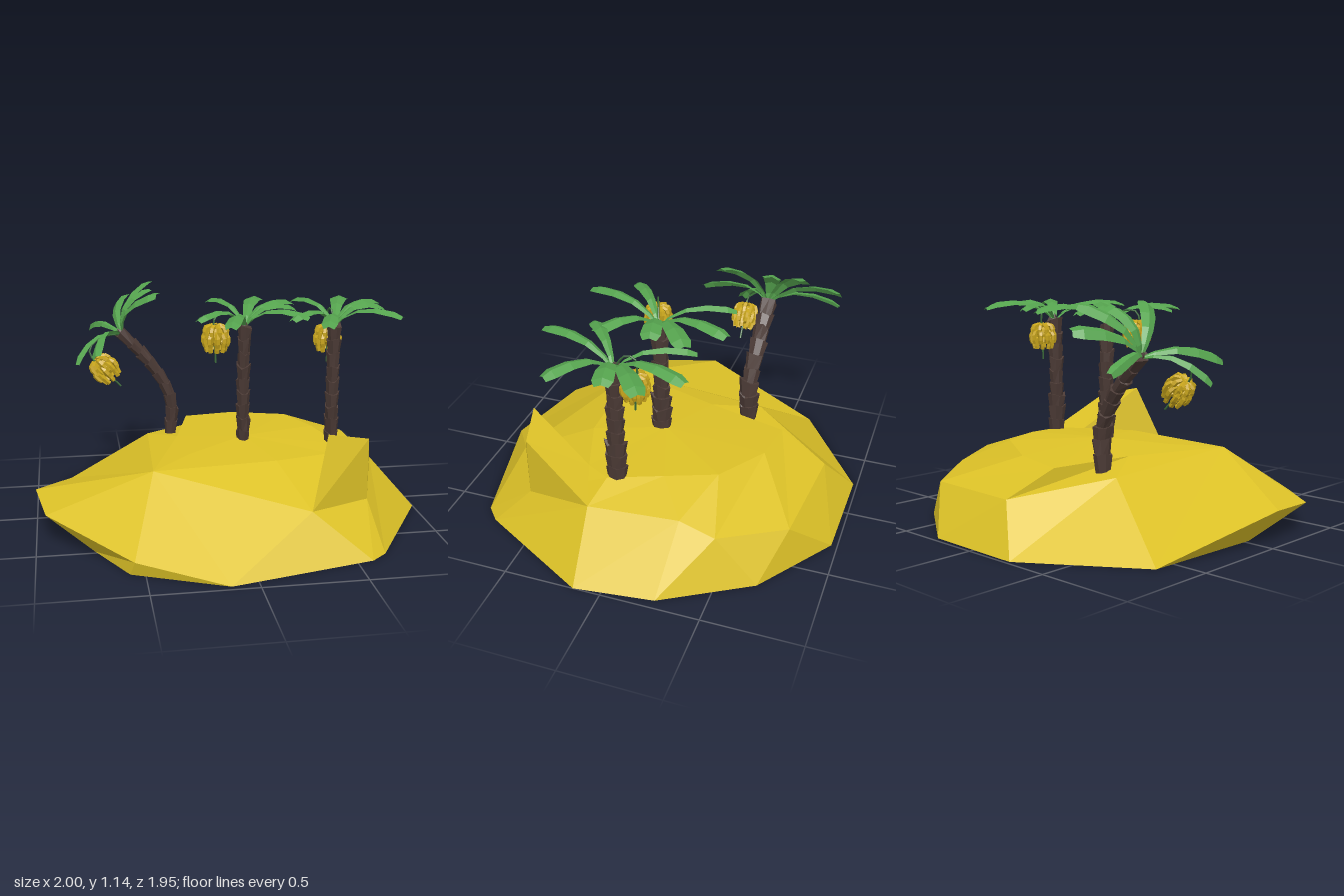
import * as THREE from 'three';
import { mergeGeometries } from 'three/addons/utils/BufferGeometryUtils.js';

const mat = (name, color, extra = {}) => {
  const m = new THREE.MeshStandardMaterial({ color, flatShading: true, ...extra });
  m.name = name;
  return m;
};
const sand = mat('sand', 0xdcc127, { side: THREE.DoubleSide });
const bark = mat('bark', 0x4b3a35);
const leafGreen = mat('leaf green', 0x55a34e, { side: THREE.DoubleSide });
const stemGreen = mat('stem green', 0x3a6a38);
const fruitYellow = mat('fruit yellow', 0xc9a61c);

let seed = 7;
const rand = () => (seed = (seed * 16807) % 2147483647) / 2147483647;

const mesh = (name, geo, material) => {
  const m = new THREE.Mesh(geo, material);
  m.name = name;
  return m;
};

// Faceted surface from a list of corner points, three per face
function facets(points) {
  const g = new THREE.BufferGeometry();
  g.setAttribute('position', new THREE.Float32BufferAttribute(points.flat(), 3));
  g.computeVertexNormals();
  return g;
}

// Faces joining two closed rings of equal count
function joinRings(outer, inner, out) {
  const same = (a, b) => a.every((v, i) => v === b[i]);
  const add = (a, b, c) => { if (!same(a, b) && !same(b, c) && !same(a, c)) out.push(a, b, c); };
  outer.forEach((o, i) => {
    const j = (i + 1) % outer.length;
    add(o, inner[i], outer[j]);
    add(outer[j], inner[i], inner[j]);
  });
}

function island() {
  const group = new THREE.Group();
  group.name = 'island';
  const west = [-0.42, 0.365, 0.37];   // shoulder shared by the long western slopes
  const backFoot = [0.5, 0.37, 0.25];
  const shore = [
    [-0.26, 0.01, -0.98], [0.28, 0.01, -0.97], [0.69, 0.01, -0.69], [0.95, 0.01, -0.26],
    [1, 0.01, 0.14], [0.66, 0.01, 0.73], [0.58, 0.01, 0.8], [-0.13, 0.01, 0.97],
    [-0.55, 0.08, 0.8], [-0.95, 0.16, 0.35], [-1, 0.185, 0.04], [-0.81, 0.01, -0.61]];
  const slope = [
    [-0.08, 0.24, -0.84], [0.49, 0.23, -0.79], [0.71, 0.26, -0.48], [0.71, 0.32, -0.3],
    [0.74, 0.31, 0.16], [0.62, 0.22, 0.53], [0.3, 0.24, 0.71],
    west, west, west, west, [-0.38, 0.32, -0.41]];
  const ledge = [-0.22, 0.38, 0.18], bank = [-0.24, 0.37, -0.17];
  const plateau = [
    [-0.14, 0.36, -0.59], [0.12, 0.38, -0.56], [0.4, 0.4, -0.4], [0.5, 0.4, -0.15],
    [0.58, 0.38, 0.12], backFoot, [0.2, 0.38, 0.35], ledge, ledge, ledge, bank, bank];
  const base = shore.map(p => [p[0], 0.01, p[2]]);
  base[8] = [-0.57, 0.01, 0.77];
  base[9] = [-0.72, 0.01, 0.48];
  base[10] = [-0.84, 0.01, 0.03];

  const pts = [];
  joinRings(base, shore, pts);
  joinRings(shore, slope, pts);
  joinRings(slope, plateau, pts);
  joinRings(plateau, plateau.map(() => [0.1, 0.405, -0.02]), pts);
  joinRings(base.map(() => [0, 0.01, 0]), base, pts);
  group.add(mesh('sandMound', facets(pts), sand));

  // Rocky crest on the front right shore
  const peak = [0.4, 0.58, 0.59], crest = [0.62, 0.53, 0.53];
  const [east, foot, front] = [slope[4], slope[5], slope[6]];
  group.add(mesh('crest', facets([
    front, foot, crest, front, crest, peak, foot, east, crest,
    peak, crest, backFoot, crest, east, backFoot, front, peak, backFoot]), sand));
  return group;
}

// Stack of jagged, upward flaring bark segments along a curve
function trunk(points, count) {
  const curve = new THREE.CatmullRomCurve3(points.map(p => new THREE.Vector3(...p)));
  const up = new THREE.Vector3(0, 1, 0);
  const parts = [];
  for (let i = 0; i < count; i++) {
    const a = curve.getPointAt(i / count), b = curve.getPointAt((i + 1) / count);
    const len = a.distanceTo(b) * 1.2;
    const flare = i < 3 ? 1.2 : 1;
    const g = new THREE.CylinderGeometry(0.037, 0.03, len, 7);
    const p = g.attributes.position;
    const jag = Array.from({ length: 7 }, () => [0.9 + 0.25 * rand(), 0.03 * (rand() - 0.5)]);
    for (let k = 0; k < p.count; k++) {
      const x = p.getX(k), z = p.getZ(k);
      if (p.getY(k) < 0 || Math.hypot(x, z) < 0.001) continue;
      const s = Math.round((Math.atan2(x, z) / (2 * Math.PI)) * 7 + 7) % 7;
      p.setXYZ(k, x * jag[s][0], p.getY(k) + jag[s][1], z * jag[s][0]);
    }
    g.rotateY(i * 0.45);
    g.scale(0.97, 1, 1.25 * flare);
    g.applyQuaternion(new THREE.Quaternion().setFromUnitVectors(up, b.clone().sub(a).normalize()));
    g.translate((a.x + b.x) / 2, (a.y + b.y) / 2, (a.z + b.z) / 2);
    parts.push(g);
  }
  return mesh('trunk', mergeGeometries(parts), bark);
}

// Arched blade with a raised midrib, reaching out to (dx, dz)
function leaf(dx, dz, width) {
  const sections = [[0, 0, 0.008], [0.13, 0.05, 0.018], [0.35, 0.095, 0.03],
    [0.62, 0.11, 0.042], [0.88, 0.1, 0.046], [1, 0.08, 0.03]];
  const len = Math.hypot(dx, dz), nx = -dz / len, nz = dx / len;
  const rows = sections.map(([t, y, w]) => [-1, 0, 1].map(s =>
    [dx * t + nx * s * w * width, y - Math.abs(s) * w * 0.4, dz * t + nz * s * w * width]));
  const pts = [];
  for (let i = 0; i < rows.length - 1; i++) {
    for (let k = 0; k < 2; k++) {
      const a = rows[i][k], b = rows[i][k + 1], c = rows[i + 1][k], d = rows[i + 1][k + 1];
      pts.push(a, b, c, b, d, c);
    }
  }
  return facets(pts);
}

// Tiers of upturned fruit around a hanging stalk
function fruitBunch() {
  const parts = [];
  [[0.015, 0.058, 9], [-0.02, 0.066, 10], [-0.05, 0.05, 8]].forEach(([y, r, n], tier) => {
    for (let i = 0; i < n; i++) {
      const path = new THREE.CatmullRomCurve3([[0.012, y + 0.03], [r * 0.75, y + 0.035], [r, y + 0.005], [r * 0.85, y - 0.03]]
        .map(([x, h]) => new THREE.Vector3(x, h, 0)));
      const g = new THREE.TubeGeometry(path, 5, 0.013, 5);
      g.rotateY(((i + tier * 0.5) / n) * Math.PI * 2);
      parts.push(g);
    }
  });
  const core = new THREE.SphereGeometry(0.05, 8, 6);
  core.scale(1, 1.1, 1);
  parts.push(core);
  return mesh('fruitBunch', mergeGeometries(parts), fruitYellow);
}

const LEAVES = [[-0.14, -0.36, 0.65], [0.13, -0.39, 1], [0.29, -0.23, 1.1], [0.27, -0.05, 1.1],
  [0.29, 0.22, 1], [-0.14, 0.41, 0.85], [-0.27, 0.21, 0.75]];

function palm(name, path, tilt, fruitAt) {
  const group = new THREE.Group();
  group.name = name;
  group.add(trunk(path, 9));

  const crown = new THREE.Group();
  crown.name = 'crown';
  crown.position.set(...path[path.length - 1]);
  crown.rotation.z = tilt;
  crown.add(mesh('leaves', mergeGeometries(LEAVES.map(l => leaf(...l))), leafGreen));
  const bud = mesh('bud', new THREE.ConeGeometry(0.028, 0.05, 6), bark);
  bud.position.y = 0.015;
  crown.add(bud);

  const [x, y, z] = fruitAt;
  const bunch = fruitBunch();
  bunch.position.set(x, y, z);
  const stalk = new THREE.CatmullRomCurve3([[0, 0, 0], [x * 0.5, 0.075, z * 0.5], [x, 0.07, z], [x, y - 0.14, z]]
    .map(p => new THREE.Vector3(...p)));
  crown.add(bunch, mesh('fruitStalk', new THREE.TubeGeometry(stalk, 14, 0.005, 5), stemGreen));
  group.add(crown);
  return group;
}

export function createModel() {
  const model = new THREE.Group();
  model.name = 'palmIsland';
  model.add(
    island(),
    palm('leaningPalm', [[-0.255, 0.33, -0.37], [-0.25, 0.53, -0.37], [-0.34, 0.71, -0.38], [-0.51, 0.9, -0.385]],
      0.7, [-0.18, -0.04, 0.15]),
    palm('middlePalm', [[0.09, 0.37, 0.01], [0.09, 0.7, 0.01], [0.095, 1, 0.02]], 0, [-0.16, -0.03, 0.06]),
    palm('rightPalm', [[0.55, 0.36, 0.08], [0.55, 0.7, 0.08], [0.555, 1, 0.075]], 0, [-0.01, -0.07, -0.1]));
  return model;
}
